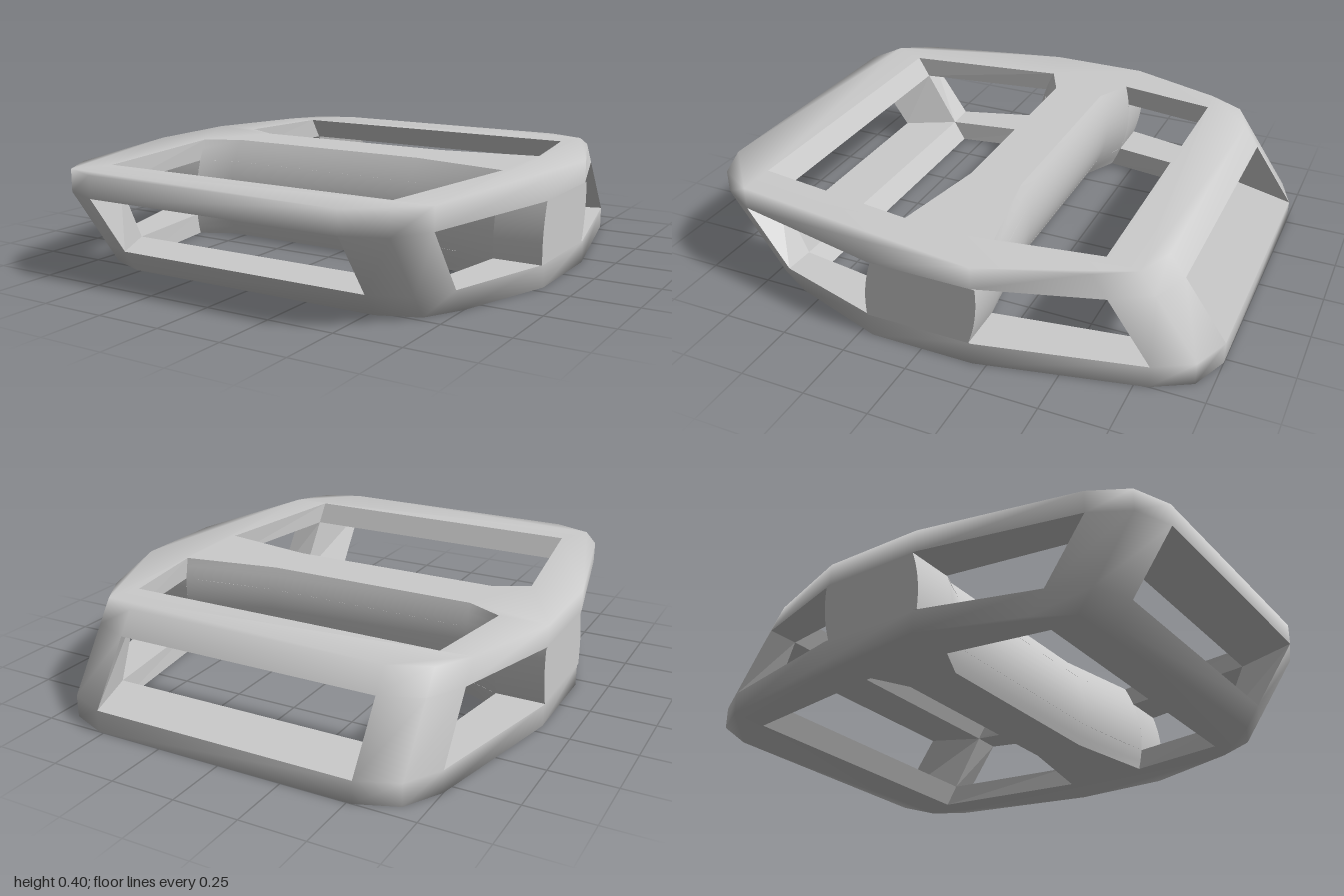
import * as THREE from 'three';

const H = 0.4;                       // overall height
const LEVELS = [0, 0.085, 0.315, H]; // bottom, lower plate, upper plate, top
const V = (x, y, z) => new THREE.Vector3(x, y, z);

// Raked front of the frame: outer and inner z at a height; the rear is the same turned half round
const outerZ = y => 0.78 + 0.22 * Math.min(1, y / LEVELS[2]);
const innerZ = y => 0.59 + 0.21 * y / H;
const sideX = z => 0.69 - 0.15 * (z - 0.2);

// Bulging front face of the axle housing, wider at its ends
function hubZ(x, y) {
  const [a, m, c] = Math.abs(x) >= 0.69 ? [0.2, 0.215, 0.15] : [0.13, 0.165, 0.08];
  const t = y / H;
  return a * (1 - t) * (1 - 2 * t) + 4 * m * t * (1 - t) + c * t * (2 * t - 1);
}

// Outline of the frame, counter-clockwise from above
function outerRing(y) {
  const f = outerZ(y), b = outerZ(H - y);
  const right = [[0.52, f], [0.67, f - 0.06], [0.75, f - 0.2], [0.88, 0.2],
    [0.88, -0.2], [0.75, 0.2 - b], [0.67, 0.06 - b], [0.52, -b]];
  const left = right.map(([x, z]) => [-x, z]).reverse();
  return [...right, ...left].map(([x, z]) => V(x, y, z));
}

const HUB_X = [-0.69, -0.55, 0.3, 0.69];

function frontHole(y) {
  const z = innerZ(y), x = sideX(z);
  return [V(-x, y, z), V(x, y, z), ...[...HUB_X].reverse().map(h => V(h, y, hubZ(h, y)))];
}

function backHole(y) {
  const z = innerZ(H - y), x = sideX(z);
  return [...HUB_X.map(h => V(h, y, -hubZ(h, H - y))), V(x, y, -z), V(-x, y, -z)];
}

// Triangles of a plate with its two openings, facing up
function plate(y) {
  const rings = [outerRing(y), frontHole(y), backHole(y)];
  const flat = rings.map(r => r.map(p => new THREE.Vector2(p.x, -p.z)));
  const tris = THREE.ShapeUtils.triangulateShape(flat[0], [flat[1], flat[2]]);
  return { points: rings.flat(), tris };
}

function geometry(points, index) {
  const g = new THREE.BufferGeometry().setFromPoints(points);
  if (index) g.setIndex(index);
  g.computeVertexNormals();
  return g;
}

const quad = (a, b, c, d) => [a, b, c, a, c, d];

// Smooth outer skin: top, bottom and side bands with windows left open
function skinGeometry() {
  const points = [], index = [], start = [];
  LEVELS.forEach((y, k) => {
    const p = plate(y);
    start.push(points.length);
    points.push(...p.points);
    if (k === 0) p.tris.forEach(([a, b, c]) => index.push(a, c, b));
    if (k === 3) p.tris.forEach(t => index.push(...t.map(i => i + start[3])));
  });
  const pillars = [0, 1, 5, 6, 8, 9, 13, 14];
  for (let k = 0; k < 3; k++) {
    for (let i = 0; i < 16; i++) {
      if (k === 1 && !pillars.includes(i)) continue;
      const j = (i + 1) % 16, lo = start[k], hi = start[k + 1];
      index.push(...quad(lo + i, lo + j, hi + j, hi + i));
    }
  }
  return geometry(points, index);
}

// Flat faces inside: plate undersides, opening walls and pillar jambs
function innerGeometry() {
  const points = [];
  const under = plate(LEVELS[2]), over = plate(LEVELS[1]);
  under.tris.forEach(([a, b, c]) => points.push(under.points[a], under.points[c], under.points[b]));
  over.tris.forEach(t => points.push(...t.map(i => over.points[i])));

  for (const k of [0, 2]) {
    for (const [hole, first] of [[frontHole, [0, 1, 5]], [backHole, [3, 4, 5]]]) {
      const lo = hole(LEVELS[k]), hi = hole(LEVELS[k + 1]);
      for (const i of first) {
        const j = (i + 1) % 6;
        points.push(...quad(lo[j], lo[i], hi[i], hi[j]));
      }
    }
  }

  const corner = [[0, 2, frontHole, 1], [5, 7, backHole, 4], [8, 10, backHole, 5], [13, 15, frontHole, 0]];
  for (const [a, b, hole, c] of corner) {
    const [lo, hi] = [LEVELS[1], LEVELS[2]].map(y => {
      const ring = outerRing(y);
      return [ring[b], hole(y)[c], ring[a]];
    });
    for (let i = 0; i < 2; i++) points.push(...quad(lo[i], lo[i + 1], hi[i + 1], hi[i]));
  }
  return geometry(points);
}

const ROWS = 12;

// Smooth strip of the housing's front face
function hubStrip(xs, y0, y1) {
  const points = [], index = [], n = xs.length;
  for (let r = 0; r <= ROWS; r++) {
    const y = y0 + (y1 - y0) * r / ROWS;
    xs.forEach(x => points.push(V(x, y, hubZ(x, y))));
  }
  for (let r = 0; r < ROWS; r++) {
    for (let i = 0; i < n - 1; i++) {
      const a = r * n + i;
      index.push(...quad(a, a + 1, a + n + 1, a + n));
    }
  }
  return geometry(points, index);
}

// Flat end of the housing between the plates
function hubEnd(side) {
  const points = [], x = 0.88 * side;
  const row = r => {
    const y = LEVELS[1] + (LEVELS[2] - LEVELS[1]) * r / ROWS;
    const pair = [V(x, y, hubZ(x, y)), V(x, y, -hubZ(x, H - y))];
    return side > 0 ? pair : pair.reverse();
  };
  for (let r = 0; r < ROWS; r++) {
    const [a, b] = row(r), [d, c] = row(r + 1);
    points.push(...quad(a, b, c, d));
  }
  return geometry(points);
}

export function createModel() {
  const model = new THREE.Group();
  model.name = 'pedal';
  const material = new THREE.MeshStandardMaterial({ color: 0xcccccc, side: THREE.DoubleSide });
  const add = (parent, name, g) => {
    const mesh = new THREE.Mesh(g, material);
    mesh.name = name;
    parent.add(mesh);
  };

  // Cage
  add(model, 'cageSkin', skinGeometry());
  add(model, 'cageInnerFaces', innerGeometry());

  // Axle housing: the rear face is the front face turned half round about x
  const hub = new THREE.Group();
  hub.name = 'axleHousing';
  for (const name of ['housingFront', 'housingBack']) {
    const strips = [hubStrip(HUB_X, 0, H),
      hubStrip([-0.88, -0.69], LEVELS[1], LEVELS[2]),
      hubStrip([0.69, 0.88], LEVELS[1], LEVELS[2])];
    for (const g of strips) {
      if (name === 'housingBack') g.rotateX(Math.PI).translate(0, H, 0);
      add(hub, name, g);
    }
  }
  add(hub, 'housingLeftEnd', hubEnd(1));
  add(hub, 'housingRightEnd', hubEnd(-1));
  model.add(hub);
  return model;
}
